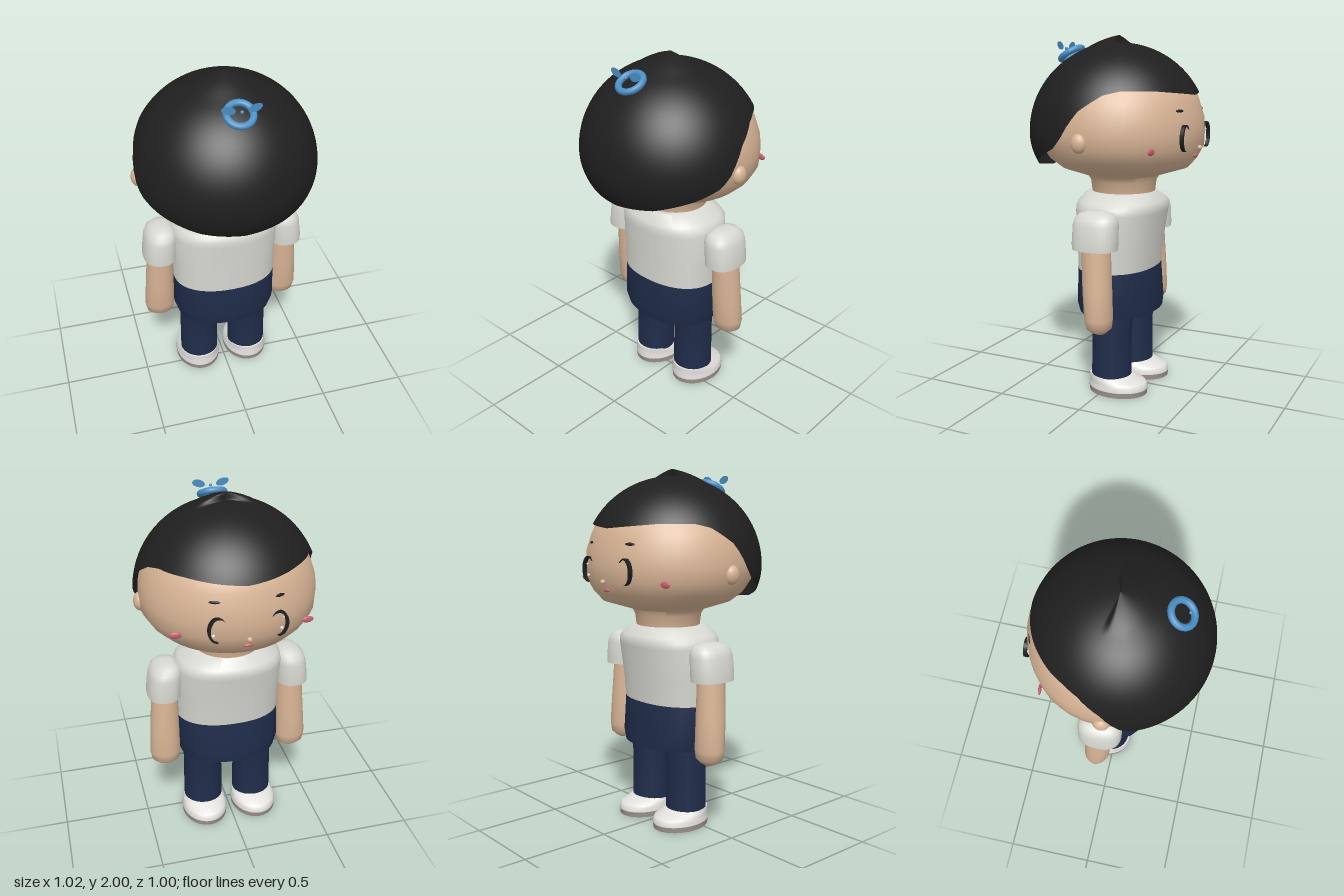
import * as THREE from 'three';
import { toCreasedNormals } from 'three/addons/utils/BufferGeometryUtils.js';

const paint = (name, color, side = THREE.FrontSide) => {
  const m = new THREE.MeshStandardMaterial({ color, side });
  m.name = name;
  return m;
};

// Grid of points, closed around u, running upward in v
function grid(nu, nv, point) {
  const pos = [], index = [];
  for (let j = 0; j <= nv; j++) for (let i = 0; i < nu; i++) pos.push(...point((i / nu) * Math.PI * 2, j / nv, j));
  for (let j = 0; j < nv; j++) for (let i = 0; i < nu; i++) {
    const k = (i + 1) % nu, a = j * nu + i, b = j * nu + k, c = a + nu, d = b + nu;
    index.push(a, c, b, b, c, d);
  }
  const g = new THREE.BufferGeometry();
  g.setAttribute('position', new THREE.Float32BufferAttribute(pos, 3));
  g.setIndex(index);
  g.computeVertexNormals();
  return g;
}

// Closed body through elliptical rings [y, cx, cz, rx, rz], bottom to top
function loft(rings, power = 2, n = 32) {
  const first = rings[0], last = rings[rings.length - 1];
  const rows = [[...first.slice(0, 3), 0, 0], ...rings, [...last.slice(0, 3), 0, 0]];
  const bend = (c) => Math.sign(c) * Math.abs(c) ** (2 / power);
  const g = grid(n, rows.length - 1, (a, v, j) => {
    const [y, cx, cz, rx, rz] = rows[j];
    return [cx + rx * bend(Math.cos(a)), y, cz + rz * bend(Math.sin(a))];
  });
  return toCreasedNormals(g, 0.75);
}

// Lower edge of the hair as [degrees from the back, height]
const HAIRLINE = [[0, 1.265], [30, 1.29], [58, 1.36], [72, 1.41], [78, 1.46], [84, 1.54], [90, 1.605],
  [97, 1.645], [105, 1.685], [116, 1.705], [140, 1.705], [180, 1.68]];
function hairline(deg) {
  let i = 1;
  while (i < HAIRLINE.length - 1 && deg > HAIRLINE[i][0]) i++;
  const [a, ya] = HAIRLINE[i - 1], [b, yb] = HAIRLINE[i];
  return ya + ((yb - ya) * (deg - a)) / (b - a);
}

export function createModel() {
  const model = new THREE.Group();
  const skin = paint('skin', 0xd9b596);
  const black = paint('hairBlack', 0x1f1f1f, THREE.DoubleSide);
  const shirt = paint('shirtWhite', 0xd9d9d3);
  const navy = paint('navyCloth', 0x1f2c4a);
  const white = paint('shoeWhite', 0xe2e0dd);
  const soleGrey = paint('soleGrey', 0x9c938b);
  const blue = paint('hairTieBlue', 0x4a8fc4, THREE.DoubleSide);
  const pink = paint('blushPink', 0xc9606e);

  const add = (parent, name, geometry, material, x = 0, y = 0, z = 0) => {
    const mesh = new THREE.Mesh(geometry, material);
    mesh.name = name;
    mesh.position.set(x, y, z);
    parent.add(mesh);
    return mesh;
  };
  const blob = (parent, name, material, p, s) => {
    const mesh = add(parent, name, new THREE.SphereGeometry(1, 20, 14), material, ...p);
    mesh.scale.set(...s);
    return mesh;
  };

  // Head and neck
  add(model, 'head', loft([
    [1.12, 0, -0.03, 0.18, 0.175], [1.2, 0, -0.03, 0.19, 0.185], [1.23, 0, -0.03, 0.21, 0.2],
    [1.28, 0, -0.04, 0.37, 0.355], [1.33, 0, -0.03, 0.43, 0.41], [1.4, 0, -0.025, 0.475, 0.45],
    [1.48, 0, -0.02, 0.482, 0.46], [1.56, 0, -0.02, 0.475, 0.455], [1.64, 0, -0.01, 0.45, 0.44],
    [1.7, 0, -0.005, 0.42, 0.425], [1.78, 0, 0, 0.35, 0.35], [1.88, 0, 0, 0.2, 0.2],
  ], 2, 40), skin);

  // Hair dome with a raised crown tip on its back half
  add(model, 'hair', grid(96, 28, (a, v) => {
    const deg = (Math.acos(Math.max(-1, Math.min(1, Math.sin(a)))) * 180) / Math.PI;
    const drop = hairline(deg) - 1.47;
    const phi = Math.acos(drop / (drop > 0 ? 0.49 : 0.4)) * (1 - v);
    const c = Math.cos(phi), r = 0.505 * Math.sin(phi);
    const back = 1 - THREE.MathUtils.smoothstep(deg, 94, 106);
    const tip = 0.04 * back * Math.max(0, 1 - phi / 0.4);
    return [r * Math.cos(a), 1.47 + c * (c > 0 ? 0.49 : 0.4) + tip, r * Math.sin(a) * (Math.sin(a) < 0 ? 0.985 : 0.99)];
  }), black);

  // Hair tie: tilted ring, a bead and two flat leaves
  const ring = add(model, 'hairTieRing', new THREE.TorusGeometry(0.067, 0.018, 12, 32), blue, 0, 1.9, 0.3);
  ring.rotation.x = -Math.PI / 3;
  blob(model, 'hairTieBead', blue, [0, 1.93, 0.335], [0.009, 0.009, 0.009]);

  // Face centre
  blob(model, 'nose', skin, [0, 1.4, -0.482], [0.014, 0.014, 0.014]);
  blob(model, 'mouth', pink, [0, 1.355, -0.457], [0.025, 0.01, 0.01]);

  // Shirt and lower garment
  add(model, 'shirt', loft([
    [0.71, 0, -0.01, 0.3, 0.212], [0.85, 0, -0.015, 0.302, 0.222], [1.03, 0, -0.025, 0.308, 0.242],
    [1.065, 0, -0.027, 0.302, 0.246], [1.09, 0, -0.025, 0.28, 0.235], [1.14, 0, -0.02, 0.2, 0.19],
  ], 2.25, 40), shirt);
  add(model, 'hips', loft([
    [0.455, 0, -0.018, 0.285, 0.218], [0.51, 0, -0.014, 0.302, 0.226], [0.71, 0, -0.01, 0.3, 0.212],
  ], 2.25, 40), navy);

  // Everything that comes in pairs, built on +x and mirrored
  for (const [label, sign] of [['left', 1], ['right', -1]]) {
    const half = new THREE.Group();
    half.name = label + 'Side';
    half.scale.x = sign;
    model.add(half);

    blob(half, 'ear', skin, [0.473, 1.44, 0.003], [0.036, 0.052, 0.044]);

    // Crescent eye, thickest in the middle and bulging outward
    const outer = [], inner = [];
    for (let i = 0; i <= 24; i++) {
      const t = i / 24, a = THREE.MathUtils.degToRad(-95 + 235 * t), w = 0.015 * Math.sin(Math.PI * t);
      outer.push(new THREE.Vector2(0.05 * Math.cos(a), 0.07 * Math.sin(a)));
      inner.unshift(new THREE.Vector2((0.05 - w) * Math.cos(a), (0.07 - w) * Math.sin(a)));
    }
    const crescent = new THREE.Shape([...outer, ...inner.slice(1, -1)]);
    add(half, 'eye', new THREE.ExtrudeGeometry(crescent, { depth: 0.02, bevelEnabled: false }), black, 0.16, 1.46, -0.467);
    blob(half, 'eyeGlint', white, [0.178, 1.425, -0.447], [0.009, 0.009, 0.009]);
    blob(half, 'eyeGlint', white, [0.19, 1.485, -0.445], [0.007, 0.007, 0.007]);
    const brow = blob(half, 'brow', black, [0.165, 1.6, -0.427], [0.034, 0.01, 0.008]);
    brow.rotation.y = -0.35;
    blob(half, 'cheek', pink, [0.352, 1.4, -0.348], [0.033, 0.018, 0.009]).rotation.y = -0.1;

    const leaf = add(half, 'hairTieLeaf', new THREE.CircleGeometry(1, 24), blue, 0.067, 1.945, 0.335);
    leaf.scale.set(0.037, 0.021, 1);
    leaf.rotation.z = 0.3;

    // Sleeve and arm
    add(half, 'sleeve', loft([
      [0.87, 0.375, -0.037, 0.095, 0.125], [0.9, 0.375, -0.037, 0.095, 0.126], [1.0, 0.365, -0.037, 0.092, 0.125],
      [1.035, 0.36, -0.037, 0.085, 0.118], [1.06, 0.355, -0.037, 0.065, 0.095], [1.073, 0.35, -0.037, 0.03, 0.05],
    ], 2.4), shirt);
    add(half, 'arm', loft([
      [0.405, 0.385, -0.07, 0.02, 0.02], [0.42, 0.383, -0.067, 0.055, 0.045], [0.44, 0.383, -0.065, 0.08, 0.066],
      [0.49, 0.384, -0.062, 0.089, 0.075], [0.65, 0.379, -0.052, 0.083, 0.08], [0.9, 0.37, -0.04, 0.074, 0.08],
    ]), skin);

    // Trouser leg and shoe
    add(half, 'leg', loft([
      [0.09, 0.153, -0.027, 0.115, 0.114], [0.2, 0.153, -0.027, 0.115, 0.112], [0.35, 0.152, -0.028, 0.113, 0.11],
      [0.42, 0.152, -0.025, 0.115, 0.122], [0.5, 0.152, -0.02, 0.115, 0.125],
    ]), navy);
    add(half, 'shoe', loft([
      [0.03, 0.155, -0.07, 0.134, 0.173], [0.052, 0.155, -0.07, 0.131, 0.171], [0.066, 0.155, -0.066, 0.127, 0.165],
      [0.08, 0.155, -0.037, 0.122, 0.135], [0.1, 0.155, -0.02, 0.112, 0.118],
    ]), white);
    add(half, 'sole', loft([
      [0, 0.155, -0.07, 0.133, 0.17], [0.03, 0.155, -0.07, 0.135, 0.174],
    ]), soleGrey);
  }
  return model;
}
